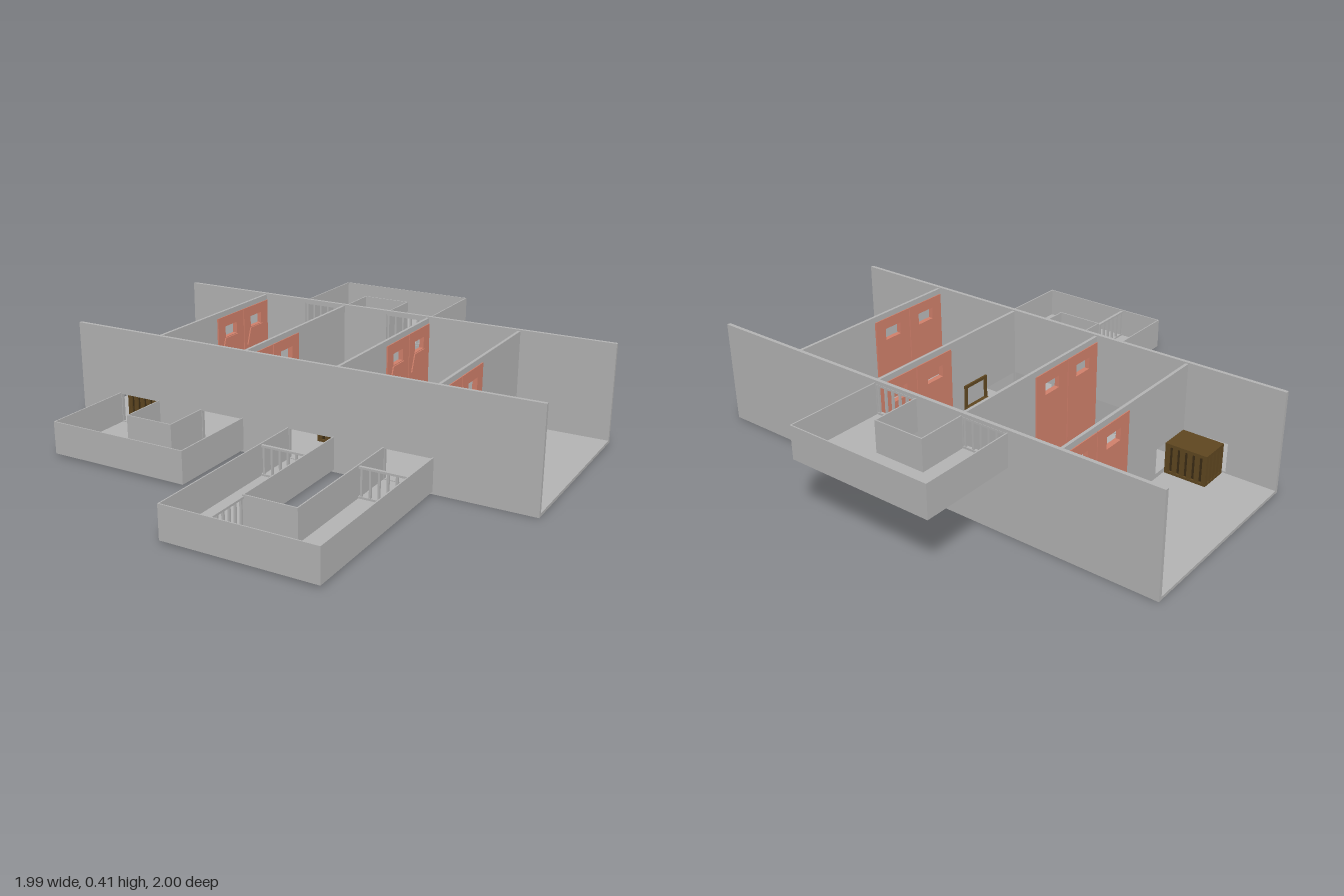
import * as THREE from 'three';

export function createModel() {
  const root = new THREE.Group();
  const grey = new THREE.MeshStandardMaterial({ color: 0xb2b2b2, name: 'concreteGrey' });
  const red = new THREE.MeshStandardMaterial({ color: 0xcf7f6a, name: 'doorRed' });
  const brown = new THREE.MeshStandardMaterial({ color: 0x5e4620, name: 'crateBrown' });
  const dark = new THREE.MeshStandardMaterial({ color: 0x3a2b14, name: 'crateShadowBrown' });

  const add = (name, geometry, material, parent = root) => {
    const mesh = new THREE.Mesh(geometry, material);
    mesh.name = name;
    parent.add(mesh);
    return mesh;
  };
  // Box given by its minimum and maximum on each axis
  const box = (name, x0, x1, y0, y1, z0, z1, material = grey, parent = root) => {
    const g = new THREE.BoxGeometry(x1 - x0, y1 - y0, z1 - z0);
    g.translate((x0 + x1) / 2, (y0 + y1) / 2, (z0 + z1) / 2);
    return add(name, g, material, parent);
  };
  const polygon = (points, Type = THREE.Shape) => new Type(points.map(p => new THREE.Vector2(...p)));
  const rect = (a0, a1, b0, b1) => [[a0, b0], [a1, b0], [a1, b1], [a0, b1]];
  // Upright panel with rectangular holes
  const panel = (outline, holes, depth) => {
    const shape = polygon(outline);
    holes.forEach(h => shape.holes.push(polygon([...h].reverse(), THREE.Path)));
    return new THREE.ExtrudeGeometry(shape, { depth, bevelEnabled: false });
  };
  // The same panel turned so that its width runs along z, centred on x
  const crossPanel = (outline, holes, depth, x) =>
    panel(outline, holes, depth).rotateY(-Math.PI / 2).translate(x + depth / 2, 0, 0);

  // Main hall: floor and two long walls with duct openings
  const L = 0.995, H = 0.41;
  box('hallFloor', -L, L, 0, 0.012, -0.605, 0.205);
  const openings = (starts, y0, y1) => starts.map(x => rect(x + 0.008, x + 0.192, y0, y1));
  add('frontWall', panel(rect(-L, L, 0.012, H), openings([-0.8, -0.4, 0, 0.4], 0.018, 0.135), 0.015), grey)
    .position.z = 0.19;
  add('backWall', panel(rect(-L, L, 0.012, H), openings([-0.4, 0], 0.278, 0.395), 0.015), grey)
    .position.z = -0.605;

  // Barred grille across a duct
  const grille = (x, z, y, alongZ) => {
    const g = new THREE.Group();
    g.name = 'ductGrille';
    for (let i = 0; i < 6; i++) {
      const a = -0.085 + i * 0.034;
      box('grilleBar', a - 0.004, a + 0.004, 0, 0.12, -0.004, 0.004, grey, g);
    }
    box('grilleRail', -0.095, 0.095, 0.112, 0.12, -0.006, 0.006, grey, g);
    box('grilleSill', -0.095, 0.095, 0, 0.008, -0.006, 0.006, grey, g);
    g.position.set(x, y, z);
    if (alongZ) g.rotation.y = Math.PI / 2;
    root.add(g);
  };

  // U-shaped open-topped duct: s is the direction it leaves the hall
  const duct = (name, x0, s, start, length, y0) => {
    const t = 0.005, h = 0.13, g = new THREE.Group();
    g.name = name;
    const zBox = (part, a, b, y, yTop, p, q) => {
      const u = start + s * p, v = start + s * q;
      box(part, a, b, y, yTop, Math.min(u, v), Math.max(u, v), grey, g);
    };
    const x1 = x0 + 0.6, top = y0 + h;
    // floor
    zBox('ductFloor', x0, x0 + 0.2, y0, y0 + t, 0, length);
    zBox('ductFloor', x1 - 0.2, x1, y0, y0 + t, 0, length);
    zBox('ductFloor', x0 + 0.2, x1 - 0.2, y0, y0 + t, length - 0.2, length);
    // outer walls
    zBox('ductOuterWall', x0, x0 + t, y0, top, 0, length);
    zBox('ductOuterWall', x1 - t, x1, y0, top, 0, length);
    zBox('ductEndWall', x0, x1, y0, top, length - t, length);
    // inner walls
    zBox('ductInnerWall', x0 + 0.2 - t, x0 + 0.2, y0, top, 0, length - 0.2);
    zBox('ductInnerWall', x1 - 0.2, x1 - 0.2 + t, y0, top, 0, length - 0.2);
    zBox('ductInnerEnd', x0 + 0.2 - t, x1 - 0.2 + t, y0, top, length - 0.2, length - 0.2 + t);
    root.add(g);
  };
  duct('frontShortDuct', -0.8, 1, 0.2, 0.4, 0.01);
  duct('frontLongDuct', 0, 1, 0.2, 0.8, 0.01);
  duct('backDuct', -0.4, -1, -0.6, 0.4, 0.27);
  grille(0.1, 0.392, 0.015);
  grille(0.5, 0.392, 0.015);
  grille(0.196, 0.9, 0.015, true);
  grille(-0.3, -0.6, 0.276);
  grille(0.1, -0.6, 0.276);

  // Cross partitions: half grey wall with a low hatch, half double door
  const partition = (x, m) => {
    // m = 1 puts the door in the front half, m = -1 mirrors it about z = -0.2
    const z = d => -0.2 + m * d;
    const span = (a, b, y0, y1) => rect(Math.min(z(a), z(b)), Math.max(z(a), z(b)), y0, y1);
    add('partitionWall', crossPanel(span(-0.395, 0, 0.012, H - 0.005), [span(-0.38, -0.2, 0.03, 0.135)], 0.012, x), grey);
    box('doorLintel', x - 0.006, x + 0.006, 0.38, H - 0.005, ...[z(0), z(0.39)].sort((a, b) => a - b));
    for (const c of [0.1, 0.295]) {
      add('doorLeaf', crossPanel(span(c - 0.096, c + 0.094, 0.018, 0.382),
        [span(c - 0.045, c + 0.04, 0.29, 0.338)], 0.02, x), red);
      // tapered plate under the window
      const plate = [[z(c - 0.075), 0.215], [z(c + 0.07), 0.215], [z(c + 0.045), 0.287], [z(c - 0.05), 0.287]];
      add('doorPlate', crossPanel(plate, [], 0.005, x + 0.0125), red);
    }
    // small wall stand with a lever
    const zc = z(-0.077);
    const stand = new THREE.Group();
    stand.name = 'wallStand';
    box('standTop', 0.006, 0.062, 0.1, 0.112, -0.032, 0.032, grey, stand);
    for (const s of [-0.029, 0.029])
      box('standSide', 0.006, 0.062, 0.07, 0.105, s - 0.003, s + 0.003, grey, stand);
    box('standPost', 0.02, 0.035, 0.012, 0.1, -0.006, 0.006, grey, stand);
    box('lever', 0.05, 0.058, 0.11, 0.138, -0.004, 0.004, grey, stand);
    box('leverSpout', 0.05, 0.092, 0.118, 0.124, -0.004, 0.004, grey, stand);
    stand.position.set(x, 0, zc);
    root.add(stand);
  };
  [[-0.6, -1], [-0.2, 1], [0.2, -1], [0.6, 1]].forEach(p => partition(...p));

  // Slatted crates
  const crate = (x0, z0, w, d, h) => {
    const g = new THREE.Group();
    g.name = 'crate';
    box('crateCore', 0.008, w - 0.008, 0.004, h - 0.004, 0.008, d - 0.008, dark, g);
    box('crateLid', 0, w, h - 0.012, h, 0, d, brown, g);
    box('crateBase', 0, w, 0, 0.01, 0, d, brown, g);
    const slats = (n, len, place) => {
      for (let i = 0; i < n; i++) place(i * (len - 0.018) / (n - 1));
    };
    slats(6, w, a => {
      box('crateSlat', a, a + 0.018, 0.01, h - 0.012, 0.001, 0.008, brown, g);
      box('crateSlat', a, a + 0.018, 0.01, h - 0.012, d - 0.008, d - 0.001, brown, g);
    });
    slats(5, d, a => {
      box('crateSlat', 0.001, 0.008, 0.01, h - 0.012, a, a + 0.018, brown, g);
      box('crateSlat', w - 0.008, w - 0.001, 0.01, h - 0.012, a, a + 0.018, brown, g);
    });
    g.position.set(x0, 0.012, z0);
    root.add(g);
  };
  crate(-0.78, 0.058, 0.172, 0.125, 0.125);
  crate(0.004, -0.142, 0.182, 0.13, 0.1);
  // Open frame standing behind the second crate
  add('crateFrame', crossPanel(rect(-0.142, -0.012, 0.1, 0.205), [rect(-0.13, -0.024, 0.112, 0.193)], 0.008, 0.18), brown);

  return root;
}
